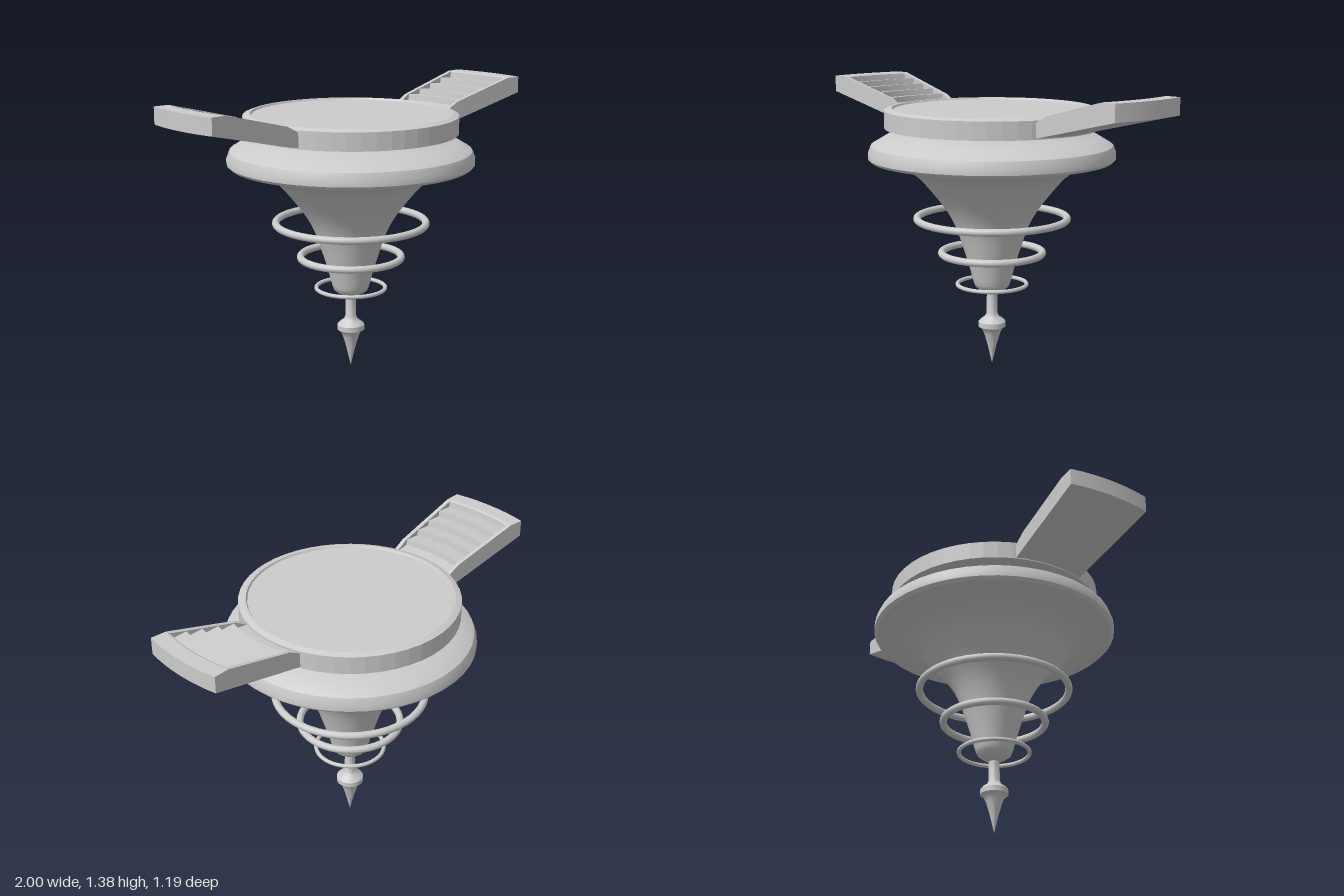
import * as THREE from 'three';
import { toCreasedNormals } from 'three/addons/utils/BufferGeometryUtils.js';

const material = new THREE.MeshStandardMaterial({ color: 0xcccccc });

function addMesh(parent, name, geometry) {
  const mesh = new THREE.Mesh(geometry, material);
  mesh.name = name;
  parent.add(mesh);
  return mesh;
}

// Turned part from [radius, height] pairs, bottom to top
function turned(profile, crease, segments = 48) {
  const pts = profile.map(([r, y]) => new THREE.Vector2(r, y));
  return toCreasedNormals(new THREE.LatheGeometry(pts, segments), crease);
}

// Half width of a wing at a given radius
const halfWidth = (r) => 0.18 + (r - 0.515) * 0.062;

// Solid swept sideways across a wing: the (radius, height) outline follows arcs
// about the central axis, between the width fractions v0 and v1
function sweptSector(outline, v0, v1, steps) {
  const pts = outline.map(([r, y]) => new THREE.Vector2(r, y));
  const n = pts.length;
  const positions = [];
  const put = (i, s) => {
    const { x: r, y } = pts[i % n];
    const z = THREE.MathUtils.lerp(v0, v1, s / steps) * halfWidth(r);
    positions.push(Math.sqrt(r * r - z * z), y, z);
  };
  for (let s = 0; s < steps; s++) {
    for (let i = 0; i < n; i++) {
      put(i, s); put(i + 1, s); put(i + 1, s + 1);
      put(i, s); put(i + 1, s + 1); put(i, s + 1);
    }
  }
  for (const [a, b, c] of THREE.ShapeUtils.triangulateShape(pts, [])) {
    put(a, steps); put(b, steps); put(c, steps);
    put(a, 0); put(c, 0); put(b, 0);
  }
  const geometry = new THREE.BufferGeometry();
  geometry.setAttribute('position', new THREE.Float32BufferAttribute(positions, 3));
  return toCreasedNormals(geometry, 0.2);
}

function createWing(name) {
  const wing = new THREE.Group();
  wing.name = name;
  const railTop = (r) => 1.38 - (0.925 - r) * 0.2586;

  // Smooth side rails
  const rail = [[0.515, 1.185], [1, 1.3], [1, 1.38], [0.925, 1.38], [0.577, 1.29], [0.515, 1.255]];
  addMesh(wing, 'frontRail', sweptSector(rail, 0.9, 1, 1));
  addMesh(wing, 'backRail', sweptSector(rail, -1, -0.9, 1));

  // Stepped slats between the rails
  const slats = [[0.515, 1.185], [1, 1.3], [1, 1.38], [0.925, 1.38]];
  for (let i = 0; i < 5; i++) {
    const r = 0.914 - i * 0.082;
    slats.push([r, railTop(r) - 0.002], [r - 0.004, railTop(r) - 0.03]);
  }
  slats.push([0.515, 1.255]);
  addMesh(wing, 'steppedSlats', sweptSector(slats, -0.9, 0.9, 10));
  return wing;
}

export function createModel() {
  const model = new THREE.Group();
  model.name = 'floatingPlatform';

  // Flared funnel: curved flank, rounded rim and closed top
  const flank = new THREE.SplineCurve([
    [0.09, 0.415], [0.13, 0.555], [0.197, 0.735], [0.31, 0.89], [0.387, 0.965], [0.485, 1.008],
  ].map(([r, y]) => new THREE.Vector2(r, y))).getPoints(20).map((p) => [p.x, p.y]);
  addMesh(model, 'funnelBody', turned([
    [0, 0.355], [0.03, 0.357], [0.06, 0.378], [0.082, 0.395],
    ...flank,
    [0.583, 1.022], [0.597, 1.036], [0.597, 1.062], [0.583, 1.098], [0.513, 1.14], [0, 1.14],
  ], 0.55));

  // Pointed finial under the funnel
  addMesh(model, 'finial', turned([
    [0, 0], [0.012, 0.05], [0.023, 0.097], [0.04, 0.155], [0.052, 0.18], [0.067, 0.19],
    [0.067, 0.215], [0.055, 0.228], [0.035, 0.242], [0.027, 0.26], [0.026, 0.36],
  ], 0.6, 24));

  // Rings floating around the funnel: [height, outer radius, tube radius]
  [[0.735, 0.384, 0.018], [0.563, 0.265, 0.018], [0.405, 0.18, 0.01]].forEach(([y, outer, tube], i) => {
    const ring = addMesh(model, `ring${i + 1}`, new THREE.TorusGeometry(outer - tube, tube, 12, 48));
    ring.rotation.x = Math.PI / 2;
    ring.position.y = y;
  });

  // Floating disc with a raised lip and a slightly sunken deck
  addMesh(model, 'deckDisc', turned([
    [0, 1.18], [0.517, 1.18], [0.517, 1.266], [0.49, 1.276], [0.48, 1.276], [0.475, 1.267], [0, 1.267],
  ], 0.05));

  // Wings on both sides
  model.add(createWing('leftWing'));
  const rightWing = createWing('rightWing');
  rightWing.rotation.y = Math.PI;
  model.add(rightWing);

  return model;
}
